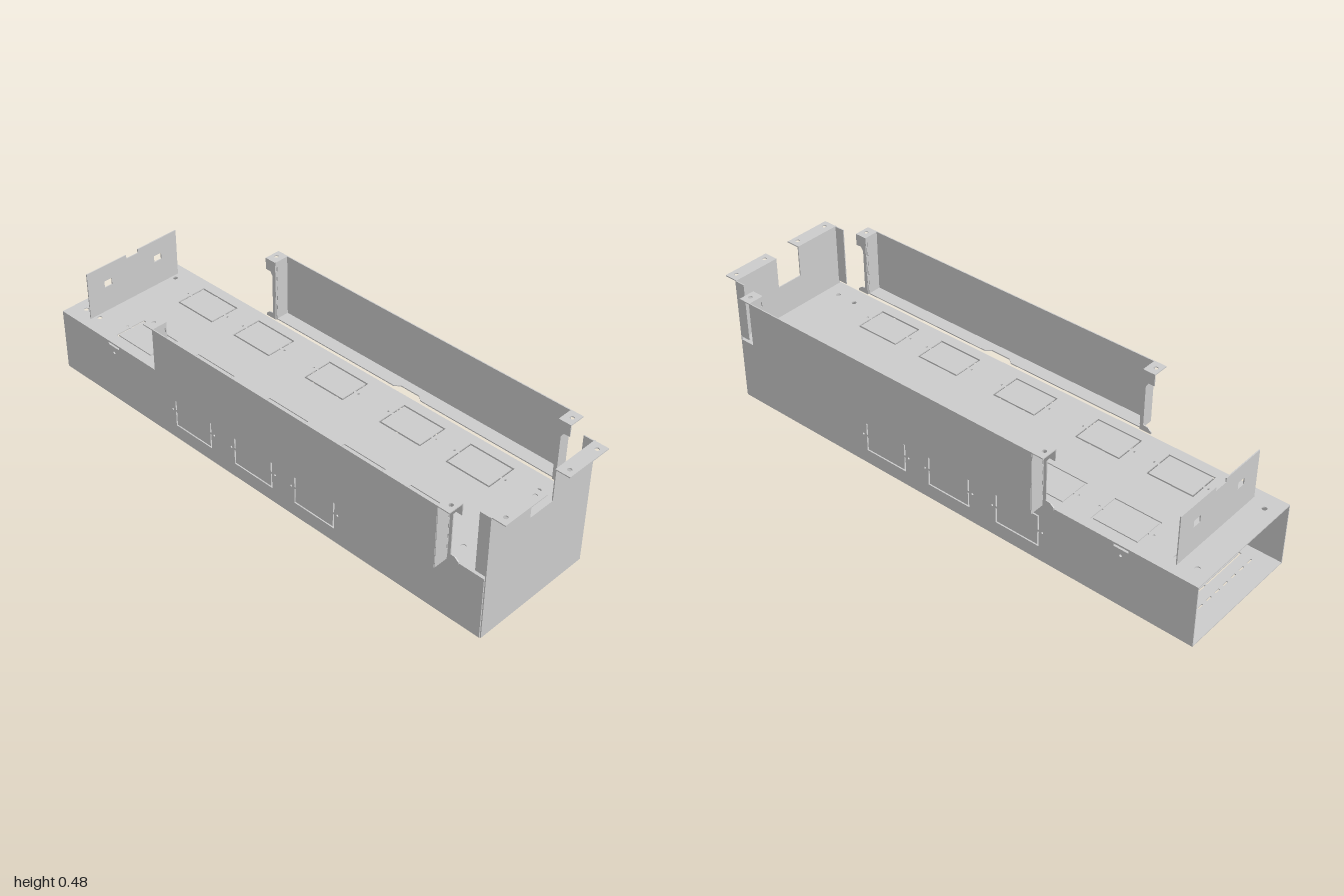
import * as THREE from 'three';

const T = 0.004; // sheet thickness
const mat = new THREE.MeshStandardMaterial({ color: 0xcccccc, flatShading: true, side: THREE.DoubleSide });

const rect = (x0, y0, x1, y1) => [[x0, y0], [x1, y0], [x1, y1], [x0, y1]];
const toPath = (pts, P = THREE.Path) => new P(pts.map(([x, y]) => new THREE.Vector2(x, y)));
const slot = (x, y, w, h) => toPath(rect(x - w / 2, y - h / 2, x + w / 2, y + h / 2));
const round = (x, y, r = 0.007) => new THREE.Path().absarc(x, y, r, 0, Math.PI * 2);

// Flat sheet drawn in 2D; plane 'xy' -> (x, y), 'xz' -> (x, -z), 'zy' -> (-z, y).
function sheet(parent, name, plane, offset, outline, holes = []) {
  const shape = toPath(outline, THREE.Shape);
  shape.holes.push(...holes);
  const geo = new THREE.ExtrudeGeometry(shape, { depth: T, bevelEnabled: false, curveSegments: 8 });
  geo.translate(0, 0, offset - T / 2);
  if (plane === 'xz') geo.rotateX(-Math.PI / 2);
  if (plane === 'zy') geo.rotateY(Math.PI / 2);
  const mesh = new THREE.Mesh(geo, mat);
  mesh.name = name;
  parent.add(mesh);
  return mesh;
}

// Sheet with knockout panels: each panel sits in its opening behind a narrow slit.
function knockoutSheet(parent, name, plane, offset, outline, knockouts, holes = [], pryHoles = true) {
  const cut = [...holes];
  const gap = 0.006;
  for (const [x0, y0, x1, y1] of knockouts) {
    cut.push(toPath(rect(x0, y0, x1, y1)));
    sheet(parent, name + 'Knockout', plane, offset,
      rect(x0 + gap, y0 + gap, x1 - gap, y1 - gap));
    // bridges holding the panel
    const ym = (y0 + y1) / 2;
    for (const x of [x0, x1 - gap]) sheet(parent, name + 'Bridge', plane, offset, rect(x, ym - 0.004, x + gap, ym + 0.004));
    if (pryHoles) cut.push(round(x0 - 0.014, ym, 0.004), round(x1 + 0.014, ym, 0.004));
  }
  sheet(parent, name, plane, offset, outline, cut);
}

// Trunking body, open at the -x end
function makeBody() {
  const g = new THREE.Group();
  g.name = 'body';
  const zW = 0.245, h = 0.24;

  // side walls
  const sideKnockouts = [-0.405, -0.115, 0.165].map(x => [x, 0.055, x + 0.178, 0.182]);
  for (const s of [1, -1]) {
    const holes = [-0.72, -0.21, 0.15, 0.67].map(x => slot(x, 0.229, 0.055, 0.009));
    holes.push(round(-0.72, 0.2, 0.005), round(0.67, 0.2, 0.005));
    knockoutSheet(g, s > 0 ? 'frontWall' : 'backWall', 'xy', s * (zW - T / 2),
      rect(-1, 0, 0.945, h), sideKnockouts, holes);
  }

  // top cover
  const topKnockouts = [], topHoles = [];
  for (const x of [-0.752, -0.465, -0.115, 0.227, 0.513])
    for (const y of [-0.205, 0.08]) topKnockouts.push([x, y, x + 0.18, y + 0.125]);
  for (const x of [-0.95, -0.875, 0.81, 0.89])
    for (const y of [-0.178, 0.178]) topHoles.push(round(x, y, 0.009));
  knockoutSheet(g, 'topCover', 'xz', h - T / 2, rect(-1, -zW, 0.945, zW), topKnockouts, topHoles);

  // floor
  const floorHoles = [0.22, -0.03, -0.29].map(x => round(x, 0, 0.009));
  for (let i = 0; i < 9; i++) floorHoles.push(slot(-0.92, -0.18 + i * 0.045, 0.006, 0.024));
  knockoutSheet(g, 'floor', 'xz', T / 2, rect(-1, -zW, 0.945, zW),
    [[0.63, -0.195, 0.88, 0.195], [-0.88, -0.195, -0.67, 0.195]], floorHoles, false);
  return g;
}

// Tall closing plate at the +x end, with fixing tabs and inner flanges
function makeEndPlate() {
  const g = new THREE.Group();
  g.name = 'endPlate';
  sheet(g, 'endPanel', 'zy', 0.948, [
    [-0.242, 0], [0.242, 0], [0.242, 0.48], [0.053, 0.48],
    [0.053, 0.36], [-0.053, 0.36], [-0.053, 0.48], [-0.242, 0.48]]);
  for (const s of [1, -1]) {
    const [a, b] = s > 0 ? [0.053, 0.24] : [-0.24, -0.053];
    sheet(g, 'endFixingTab', 'xz', 0.48 - T / 2, rect(0.948, a, 1, b),
      [round(0.977, s * 0.08, 0.008), round(0.977, s * 0.212, 0.008)]);
    sheet(g, 'endSideFlange', 'xy', s * 0.24, rect(0.908, 0.25, 0.948, 0.478));
  }
  return g;
}

// Upright notched plate near the open end
function makeDivider() {
  const g = new THREE.Group();
  g.name = 'divider';
  sheet(g, 'dividerPlate', 'zy', -0.893, [
    [-0.205, 0.24], [0.205, 0.24], [0.205, 0.425], [0.027, 0.425],
    [0.027, 0.41], [-0.027, 0.41], [-0.027, 0.425], [-0.205, 0.425]],
  [slot(-0.115, 0.35, 0.034, 0.026), slot(0.115, 0.35, 0.034, 0.026)]);
  return g;
}

// Side guard, centred on its own x; outer face at +z
function makeGuard(name) {
  const g = new THREE.Group();
  g.name = name;
  const w = 0.615, zo = 0.308, zi = 0.25;
  sheet(g, 'guardPanel', 'xy', zo, rect(-w, 0.24, w, 0.48));
  // bottom lip with central relief
  sheet(g, 'guardLip', 'xz', 0.242, [
    [-w, -zo], [w, -zo], [w, -0.256], [0.06, -0.256], [0.04, -0.272],
    [-0.04, -0.272], [-0.06, -0.256], [-w, -0.256]]);
  for (const s of [1, -1]) {
    const bendHoles = [0.29, 0.33, 0.37, 0.41, 0.45].map(y => slot(-zi - 0.006, y, 0.004, 0.018));
    sheet(g, 'guardEndFlange', 'zy', s * w, [
      [-zo, 0.24], [-0.254, 0.24], [-0.254, 0.26], [-zi, 0.26], [-zi, 0.48], [-zo, 0.48]], bendHoles);
    sheet(g, 'guardReturn', 'xy', zi, [
      [w, 0.242], [0.66, 0.242], [0.66, 0.25], [0.645, 0.262], [0.628, 0.264], [0.628, 0.42],
      [0.638, 0.435], [0.66, 0.435], [0.66, 0.48], [w, 0.48]].map(([x, y]) => [s * x, y]));
    sheet(g, 'guardFixingTab', 'xz', 0.48 - T / 2,
      rect(s > 0 ? w : -0.66, -0.31, s > 0 ? 0.66 : -w, -zi), [round(s * 0.64, -0.28, 0.008)]);
  }
  g.position.x = 0.193;
  return g;
}

export function createModel() {
  const model = new THREE.Group();
  model.name = 'cableTrunking';
  const back = makeGuard('backGuard');
  back.rotation.y = Math.PI;
  model.add(makeBody(), makeEndPlate(), makeDivider(), makeGuard('frontGuard'), back);
  return model;
}
